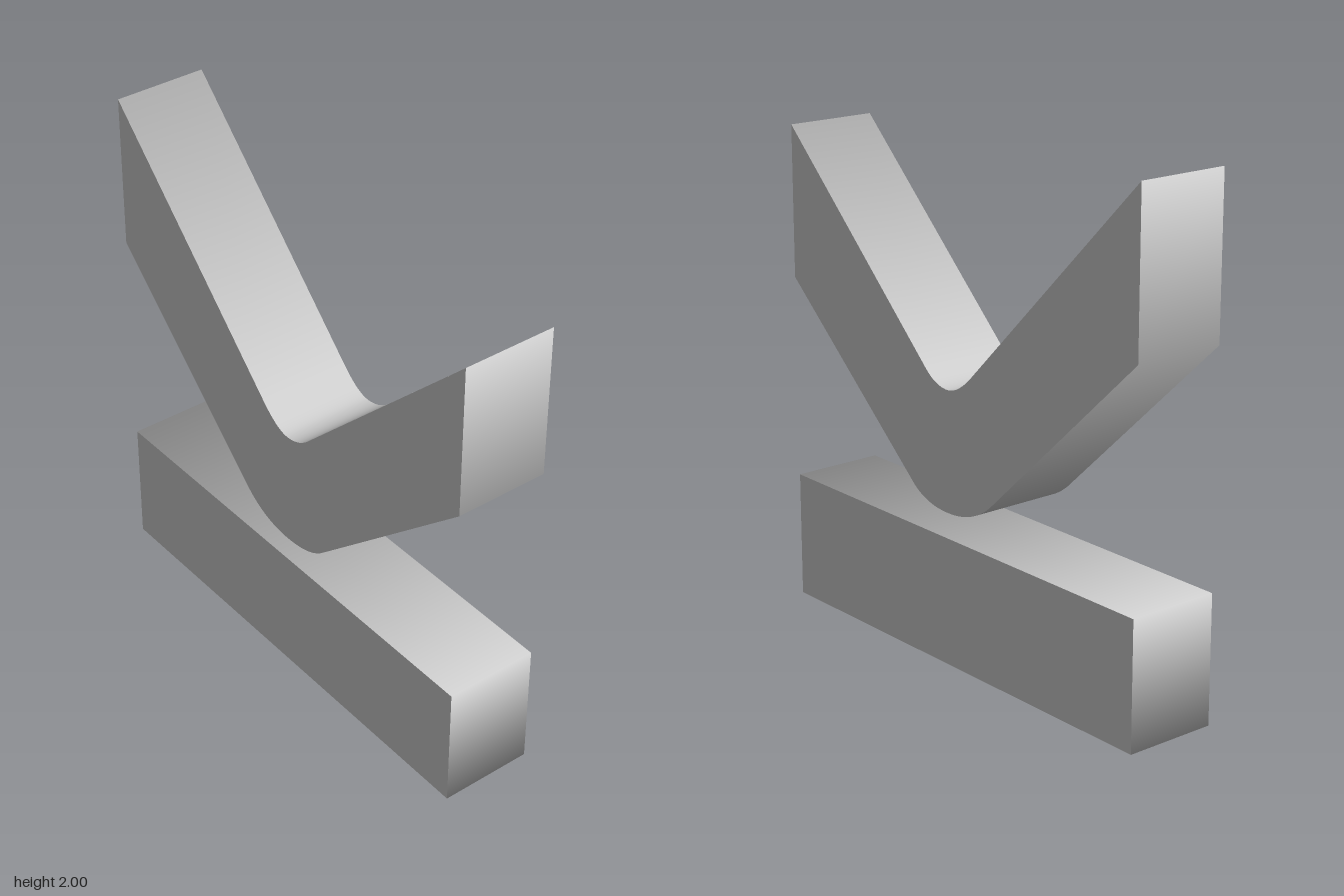
import * as THREE from 'three';

const HALF_WIDTH = 0.185;
const HALF_LENGTH = 0.97;
const material = new THREE.MeshStandardMaterial({ color: 0xcccccc });

// Extrudes a (z, y) profile across x; flat sides, rim shaded smoothly all round.
function slab(name, shape) {
  const geometry = new THREE.ExtrudeGeometry(shape, {
    depth: 2 * HALF_WIDTH, bevelEnabled: false, curveSegments: 12,
  });
  geometry.rotateY(-Math.PI / 2).translate(HALF_WIDTH, 0, 0);
  smoothRim(geometry);
  const mesh = new THREE.Mesh(geometry, material);
  mesh.name = name;
  return mesh;
}

// Every rim quad counts equally in the normals of its four corners.
function smoothRim(geometry) {
  const { position, normal } = geometry.attributes;
  const { start, count } = geometry.groups[1];
  const sums = new Map();
  const key = (i) => [position.getX(i), position.getY(i), position.getZ(i)].map((v) => Math.round(v * 1e4)).join();
  for (let q = start; q < start + count; q += 6) {
    const n = new THREE.Vector3().fromBufferAttribute(normal, q);
    const corners = new Set();
    for (let i = q; i < q + 6; i++) corners.add(key(i));
    for (const k of corners) {
      if (!sums.has(k)) sums.set(k, new THREE.Vector3());
      sums.get(k).add(n);
    }
  }
  for (const n of sums.values()) n.normalize();
  for (let i = start; i < start + count; i++) {
    const n = sums.get(key(i));
    normal.setXYZ(i, n.x, n.y, n.z);
  }
}

export function createModel() {
  const model = new THREE.Group();
  model.name = 'chevronOverBar';

  // Straight bar at the bottom
  const bar = new THREE.Shape();
  bar.moveTo(-HALF_LENGTH, 0);
  bar.lineTo(HALF_LENGTH, 0);
  bar.lineTo(HALF_LENGTH, 0.5);
  bar.lineTo(-HALF_LENGTH, 0.5);
  model.add(slab('baseBar', bar));

  // Rounded V floating above it, with the back arm slightly taller
  const chevron = new THREE.Shape();
  chevron.moveTo(-HALF_LENGTH, 2);
  chevron.lineTo(-HALF_LENGTH, 1.39);
  chevron.lineTo(-0.21, 0.685);
  chevron.quadraticCurveTo(-0.11, 0.6, 0.03, 0.6);
  chevron.quadraticCurveTo(0.16, 0.6, 0.235, 0.665);
  chevron.lineTo(HALF_LENGTH, 1.305);
  chevron.lineTo(HALF_LENGTH, 1.9);
  chevron.lineTo(0.15, 1.12);
  chevron.quadraticCurveTo(0.095, 1.07, 0.03, 1.07);
  chevron.quadraticCurveTo(-0.03, 1.07, -0.11, 1.15);
  model.add(slab('chevron', chevron));

  return model;
}
